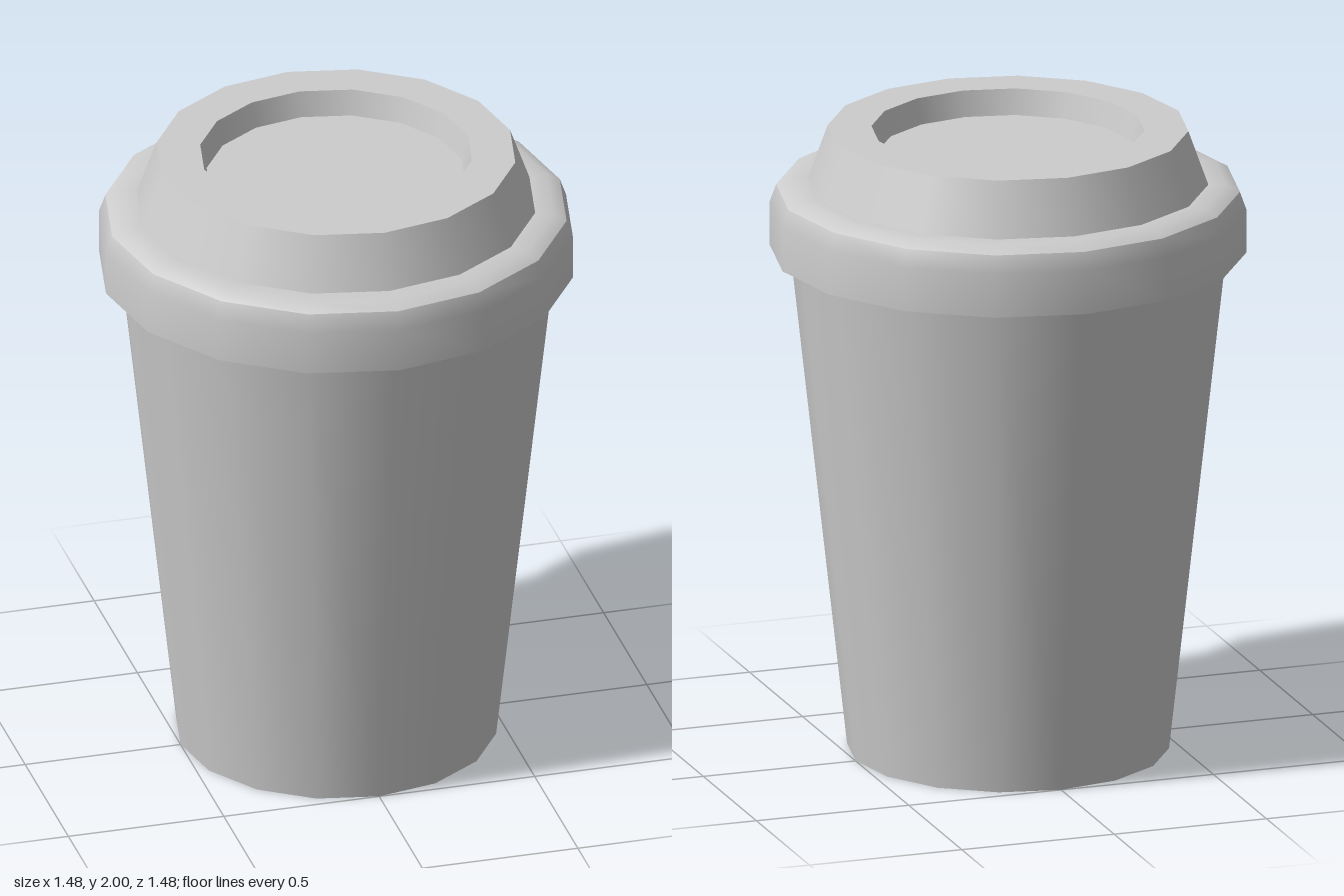
import * as THREE from 'three';
import { mergeGeometries } from 'three/addons/utils/BufferGeometryUtils.js';

const SIDES = 16;

// Each band is a [radius, y] profile, smooth within itself and sharp against the next.
function latheBands(bands) {
  return mergeGeometries(bands.map((band) =>
    new THREE.LatheGeometry(band.map(([r, y]) => new THREE.Vector2(r, y)), SIDES)));
}

export function createModel() {
  const cupGrey = new THREE.MeshStandardMaterial({ color: 0xcccccc });
  cupGrey.name = 'cup grey';

  const group = new THREE.Group();
  group.name = 'takeawayCup';

  function add(name, bands) {
    const mesh = new THREE.Mesh(latheBands(bands), cupGrey);
    mesh.name = name;
    group.add(mesh);
  }

  // Tapered body with a recessed base
  add('cupBody', [
    [[0, 0.08], [0.385, 0.08]],
    [[0.385, 0.08], [0.395, 0]],
    [[0.395, 0], [0.5, 0]],
    [[0.5, 0], [0.678, 1.61]],
  ]);

  // Overhanging rim of the lid with a rounded shoulder
  add('lidRim', [
    [[0.678, 1.61], [0.74, 1.61]],
    [[0.74, 1.61], [0.74, 1.75], [0.72, 1.806]],
    [[0.72, 1.806], [0.68, 1.828], [0.622, 1.828]],
  ]);

  // Raised lid top with a shallow sipping well
  add('lidTop', [
    [[0.622, 1.828], [0.56, 2]],
    [[0.56, 2], [0.424, 2]],
    [[0.424, 2], [0.404, 1.92]],
    [[0.404, 1.92], [0, 1.92]],
  ]);

  return group;
}
